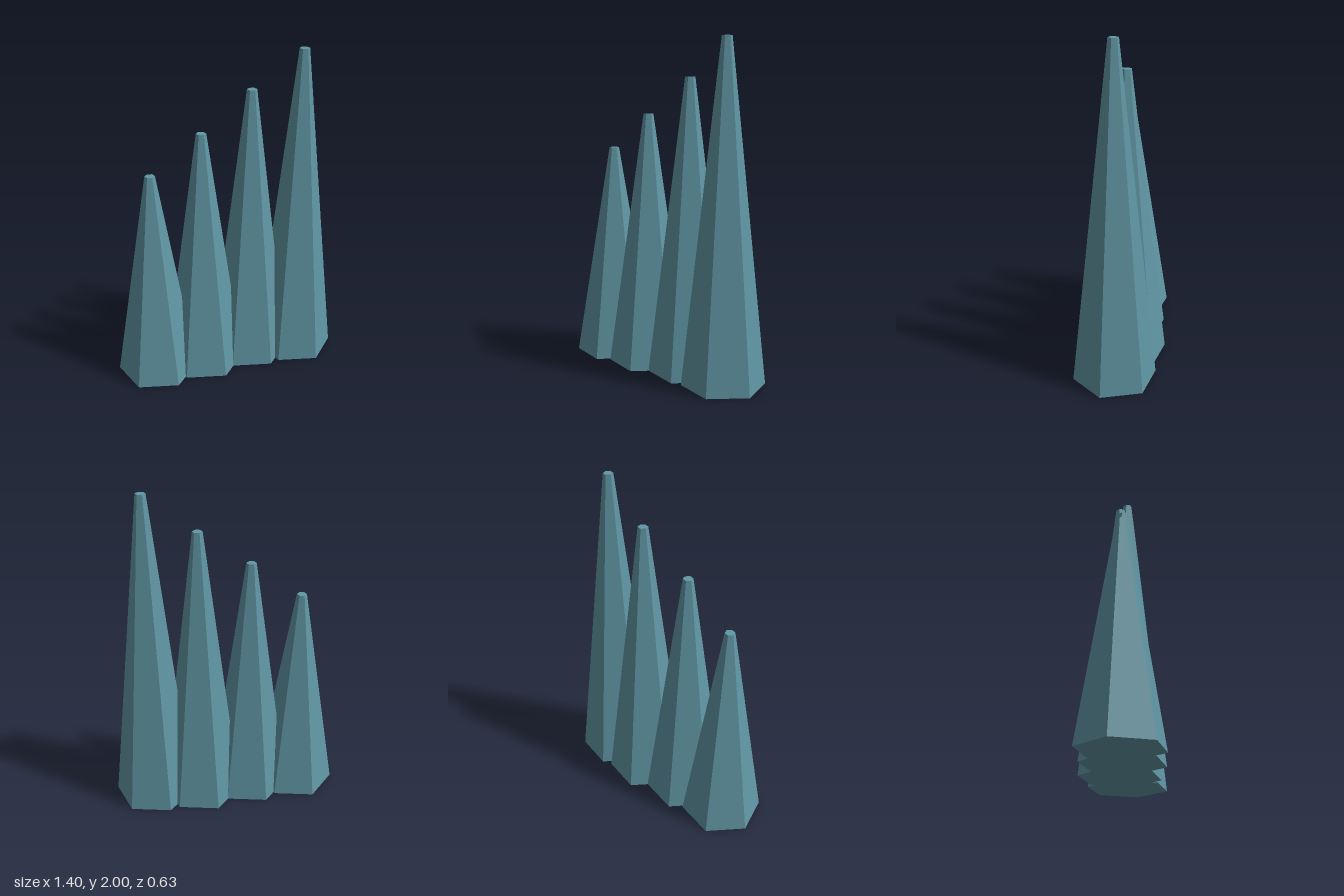
import * as THREE from 'three';

export function createModel() {
  const group = new THREE.Group();
  group.name = 'spireRow';

  const slateTeal = new THREE.MeshStandardMaterial({ color: 0x6096a4, flatShading: true });
  slateTeal.name = 'slateTeal';

  // Tapered six-sided spires, rising from right to left and stepping backwards
  const depths = [0.1, 0.03, -0.068, -0.102];
  depths.forEach((z, i) => {
    const height = (2 * (6 + i)) / 9;
    const geometry = new THREE.CylinderGeometry(0.03, 0.248, height, 6);
    geometry.rotateY(Math.PI / 6); // corners point along x
    geometry.translate(0, height / 2, 0);
    const spire = new THREE.Mesh(geometry, slateTeal);
    spire.name = `spire${i + 1}`;
    spire.position.set(-0.451 + i * 0.3007, 0, z);
    group.add(spire);
  });

  return group;
}
